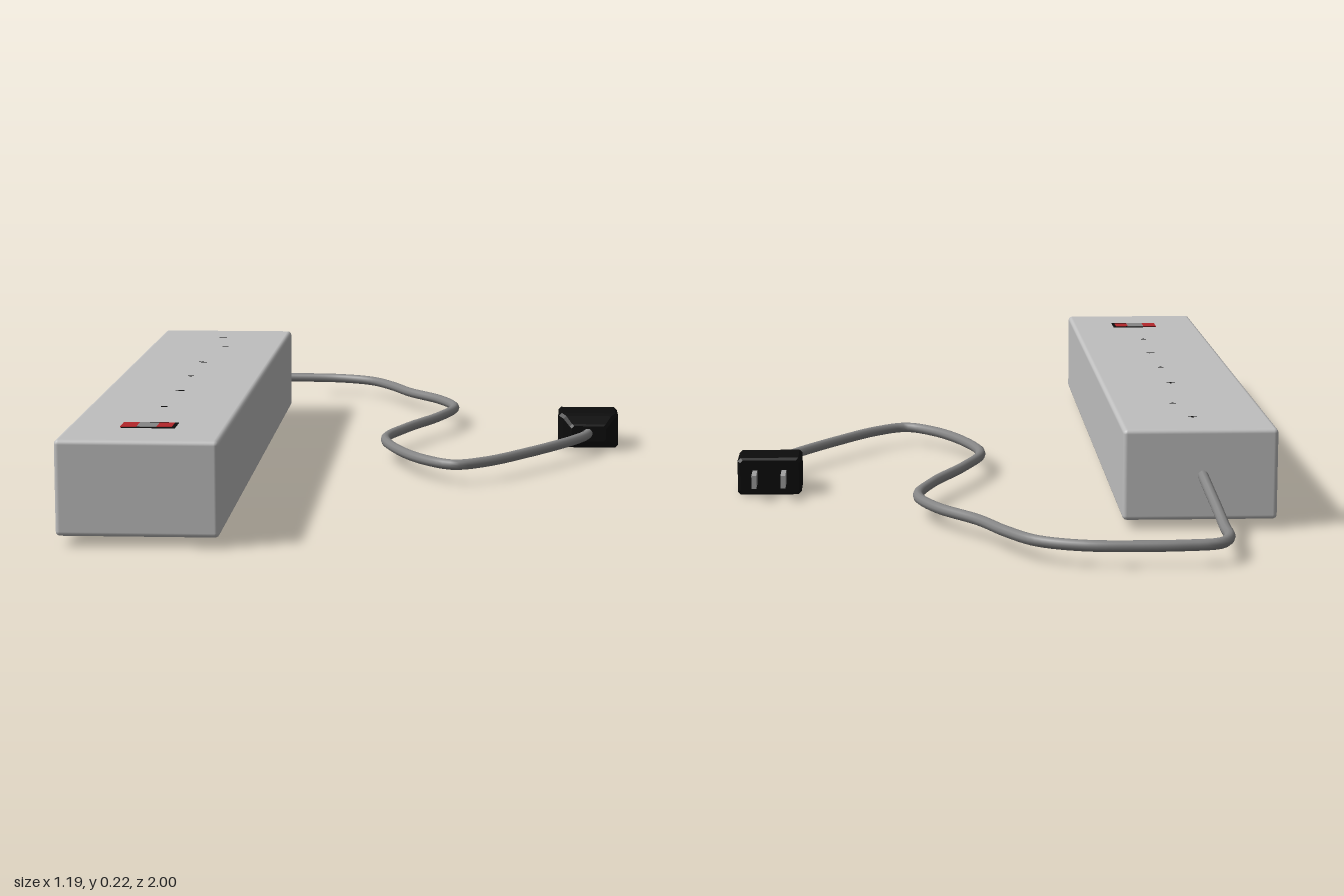
import * as THREE from 'three';
import { RoundedBoxGeometry } from 'three/addons/geometries/RoundedBoxGeometry.js';

const mat = (name, color) => Object.assign(new THREE.MeshStandardMaterial({ color }), { name });

// Closed loft through chamfered rectangles: [z, halfWidth, halfHeight, chamfer]
function loft(stations) {
  const rings = stations.map(([z, w, h, c]) => [
    [w, -h + c], [w, h - c], [w - c, h], [-w + c, h],
    [-w, h - c], [-w, -h + c], [-w + c, -h], [w - c, -h],
  ].map(([x, y]) => [x, y, z]));
  const out = [];
  const tri = (...p) => p.forEach((v) => out.push(...v));
  for (let k = 0; k + 1 < rings.length; k++) {
    for (let i = 0; i < 8; i++) {
      const j = (i + 1) % 8;
      const a = rings[k][i], b = rings[k][j], c = rings[k + 1][j], d = rings[k + 1][i];
      tri(a, b, c);
      tri(a, c, d);
    }
  }
  const first = rings[0], last = rings[rings.length - 1];
  for (let i = 1; i < 7; i++) {
    tri(first[0], first[i + 1], first[i]);
    tri(last[0], last[i], last[i + 1]);
  }
  const g = new THREE.BufferGeometry();
  g.setAttribute('position', new THREE.Float32BufferAttribute(out, 3));
  g.computeVertexNormals();
  return g;
}

export function createModel() {
  const model = new THREE.Group();
  model.name = 'powerStrip';
  const casing = mat('casingGrey', 0xbfbfbf);
  const cordGrey = mat('cordGrey', 0x858585);
  const metal = mat('prongMetal', 0xa0a0a0);
  const black = mat('plugBlack', 0x0c0c0c);
  const red = mat('switchRed', 0xb3262a);

  const add = (name, geometry, material, x = 0, y = 0, z = 0, parent = model) => {
    const m = new THREE.Mesh(geometry, material);
    m.name = name;
    m.position.set(x, y, z);
    parent.add(m);
    return m;
  };
  const box = (name, material, size, pos, parent) =>
    add(name, new THREE.BoxGeometry(...size), material, ...pos, parent);

  // Long casing
  add('casing', new RoundedBoxGeometry(0.336, 0.2, 1.66, 2, 0.01), casing, -0.427, 0.12, 0.17);

  // Rocker switch, nearly flush with the top
  const rocker = new THREE.Group();
  rocker.name = 'rockerSwitch';
  rocker.position.set(-0.427, 0.22, 0.82);
  model.add(rocker);
  box('switchFrame', black, [0.112, 0.002, 0.066], [0.004, 0.0005, 0], rocker);
  box('switchMiddle', cordGrey, [0.042, 0.003, 0.05], [0, 0.001, 0], rocker);
  box('switchRedLeft', red, [0.034, 0.003, 0.056], [-0.038, 0.001, 0], rocker);
  box('switchRedRight', red, [0.032, 0.003, 0.046], [0.037, 0.001, 0], rocker);

  // Tiny socket marks along the top
  const marks = [[-0.425, -0.515], [-0.4, -0.348], [-0.425, -0.082], [-0.425, 0.14], [-0.422, 0.358], [-0.427, 0.58]];
  marks.forEach(([x, z], i) => {
    const w = i % 2 ? 0.014 : 0.02;
    box('socketMark', black, [w, 0.001, 0.005], [x, 0.22, z]);
    box('socketMark', black, [0.005, 0.001, 0.012], [x, 0.22, z]);
  });

  // Cord: leaves the back of the casing, drops down and winds to the plug
  const start = [[-0.43, 0.125, -0.64], [-0.434, 0.113, -0.67], [-0.448, 0.075, -0.76], [-0.457, 0.047, -0.84]];
  const flat = [
    [-0.456, -0.92], [-0.43, -0.97], [-0.36, -0.985], [-0.26, -0.988], [-0.15, -0.978],
    [-0.06, -0.935], [0, -0.85], [0.055, -0.74], [0.14, -0.62], [0.18, -0.5], [0.145, -0.36],
    [0.07, -0.19], [0.025, -0.04], [0.06, 0.11], [0.13, 0.24], [0.2, 0.297], [0.27, 0.255],
    [0.37, 0.13], [0.475, -0.03], [0.51, -0.105], [0.518, -0.15],
  ];
  const path = new THREE.CatmullRomCurve3([
    ...start.map((p) => new THREE.Vector3(...p)),
    ...flat.map(([x, z]) => new THREE.Vector3(x, 0.044, z)),
  ]);
  add('cord', new THREE.TubeGeometry(path, 160, 0.012, 10), cordGrey);

  // Plug body tapering toward the cord, with two flat prongs
  const plug = new THREE.Group();
  plug.name = 'plug';
  plug.position.set(0.518, 0.043, 0);
  model.add(plug);
  add('plugBody', loft([
    [-0.28, 0.067, 0.038, 0.006],
    [-0.274, 0.073, 0.043, 0.007],
    [-0.182, 0.073, 0.043, 0.007],
    [-0.168, 0.062, 0.038, 0.007],
    [-0.136, 0.047, 0.023, 0.006],
    [-0.13, 0.042, 0.019, 0.006],
  ]), black, 0, 0, 0, plug);
  for (const s of [-1, 1]) box('prong', metal, [0.011, 0.03, 0.07], [s * 0.033, 0, -0.306], plug);

  return model;
}
